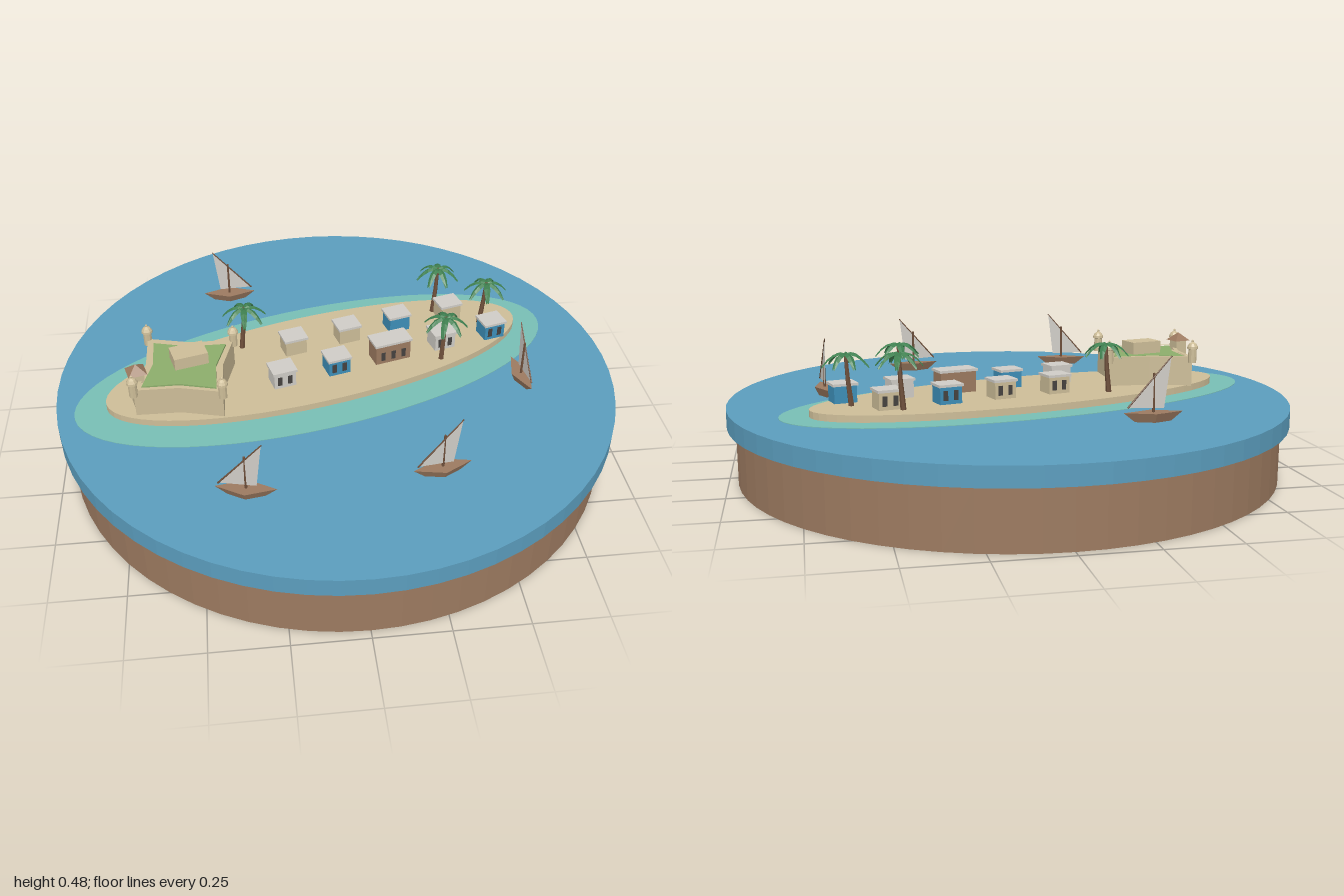
import * as THREE from 'three';

const TILT = Math.PI / 12; // heading of the island's long axis

function mat(name, color, opts = {}) {
  const m = new THREE.MeshStandardMaterial({ color, flatShading: true, ...opts });
  m.name = name;
  return m;
}

export function createModel() {
  const water = mat('water', 0x5b9dbd);
  const lagoonBlue = mat('lagoon', 0x78beb4);
  const sand = mat('sand', 0xcdbd98);
  const brown = mat('brown', 0x9c7a60);
  const wood = mat('dark wood', 0x6e4f3a);
  const grass = mat('grass', 0x8cad6b);
  const leaf = mat('palm leaf', 0x3f8050, { side: THREE.DoubleSide });
  const white = mat('off white', 0xcfccc6, { side: THREE.DoubleSide });
  const blue = mat('painted blue', 0x3d8fb8);
  const dark = mat('dark opening', 0x45423f);

  const model = new THREE.Group();
  model.name = 'islandDiorama';

  const add = (parent, name, geometry, material, x = 0, y = 0, z = 0) => {
    const mesh = new THREE.Mesh(geometry, material);
    mesh.name = name;
    mesh.position.set(x, y, z);
    parent.add(mesh);
    return mesh;
  };
  const group = (name, x, y, z, turn = 0) => {
    const g = new THREE.Group();
    g.name = name;
    g.position.set(x, y, z);
    g.rotation.y = turn;
    model.add(g);
    return g;
  };
  // Thin round pole between two points
  const pole = (parent, name, a, b, r0, r1, material) => {
    const from = new THREE.Vector3(...a), to = new THREE.Vector3(...b);
    const dir = to.clone().sub(from);
    const mesh = add(parent, name, new THREE.CylinderGeometry(r1, r0, dir.length(), 6), material);
    mesh.position.copy(from).addScaledVector(dir, 0.5);
    mesh.quaternion.setFromUnitVectors(new THREE.Vector3(0, 1, 0), dir.normalize());
  };

  // Base, sea, lagoon and island
  add(model, 'base', new THREE.CylinderGeometry(0.97, 0.97, 0.2, 64), brown, 0, 0.1, 0);
  add(model, 'sea', new THREE.CylinderGeometry(1, 1, 0.065, 64), water, 0, 0.2325, 0);
  const oval = (name, a, b, y0, y1, material, x, z) => {
    const mesh = add(model, name, new THREE.CylinderGeometry(1, 1, y1 - y0, 64), material, x, (y0 + y1) / 2, z);
    mesh.scale.set(a, 1, b);
    mesh.rotation.y = TILT;
  };
  oval('lagoon', 0.9, 0.362, 0.26, 0.267, lagoonBlue, -0.055, -0.06);
  oval('island', 0.794, 0.26, 0.262, 0.291, sand, -0.05, -0.075);

  // Fort: four corners with walls bending inwards between them
  const centre = [-0.539, 0.07];
  const corners = [[-0.67, -0.1], [-0.365, -0.06], [-0.41, 0.24], [-0.71, 0.2]];
  const fortOutline = (scale, bend) => {
    const points = [];
    corners.forEach((c, i) => {
      const n = corners[(i + 1) % 4];
      const mid = [(c[0] + n[0]) / 2, (c[1] + n[1]) / 2];
      for (const [p, s] of [[c, scale], [mid, scale * bend]]) {
        points.push(new THREE.Vector2(
          centre[0] + (p[0] - centre[0]) * s, -(centre[1] + (p[1] - centre[1]) * s)));
      }
    });
    return points;
  };
  const slab = (name, outer, hole, y0, y1, material) => {
    const shape = new THREE.Shape(outer);
    if (hole) shape.holes.push(new THREE.Path(hole));
    const geo = new THREE.ExtrudeGeometry(shape, { depth: y1 - y0, bevelEnabled: false });
    add(model, name, geo.rotateX(-Math.PI / 2), material, 0, y0, 0);
  };
  slab('fortWalls', fortOutline(1, 0.88), null, 0.288, 0.388, sand);
  slab('fortParapet', fortOutline(1, 0.88), fortOutline(0.9, 0.87), 0.387, 0.397, sand);
  slab('fortLawn', fortOutline(0.84, 0.86), null, 0.387, 0.396, grass);
  const keep = group('fortKeep', -0.522, 0.39, 0.047, TILT);
  add(keep, 'keepBlock', new THREE.BoxGeometry(0.12, 0.05, 0.08), sand, 0, 0.025, 0);

  // Domed corner turrets
  const turretProfile = [[0, 0], [0.015, 0], [0.015, 0.05], [0.02, 0.052], [0.019, 0.06],
    [0.013, 0.07], [0.004, 0.076], [0.004, 0.082], [0, 0.085]].map(p => new THREE.Vector2(...p));
  const turretGeo = new THREE.LatheGeometry(turretProfile, 10);
  for (const [x, z] of corners) add(model, 'fortTurret', turretGeo, sand, x, 0.375, z);

  // Sentry house on the west wall
  const sentry = group('sentryHouse', -0.7, 0.29, 0.13, TILT);
  add(sentry, 'sentryWalls', new THREE.BoxGeometry(0.045, 0.135, 0.045), sand, 0, 0.0675, 0);
  add(sentry, 'sentryRoof', new THREE.ConeGeometry(0.046, 0.03, 4).rotateY(Math.PI / 4), brown, 0, 0.15, 0);

  // Houses: front row faces the front, back row faces the back
  const houses = [
    [-0.2, 0.067, white, 1], [0, 0.013, blue, 1], [0.203, -0.045, brown, 1, true],
    [0.406, -0.1, white, 1], [0.604, -0.147, blue, 1],
    [-0.145, -0.125, sand, -1], [0.06, -0.18, sand, -1],
    [0.257, -0.233, blue, -1], [0.465, -0.286, sand, -1],
  ];
  for (const [x, z, paint, facing, large] of houses) {
    const w = large ? 0.135 : 0.08, h = large ? 0.076 : 0.06, d = 0.07;
    const house = group('house', x, 0.29, z, TILT + (facing < 0 ? Math.PI : 0));
    add(house, 'houseWalls', new THREE.BoxGeometry(w, h, d), paint, 0, h / 2, 0);
    add(house, 'houseRoof', new THREE.BoxGeometry(w + 0.01, 0.009, d + 0.01), white, 0, h + 0.0045, 0);
    for (const ox of large ? [-0.04, 0, 0.04] : [-0.02, 0.018]) {
      add(house, 'houseOpening', new THREE.BoxGeometry(0.016, 0.034, 0.004), dark, ox, 0.031, d / 2);
    }
  }

  // Palms: leaning trunk and drooping folded fronds
  const frondGeo = new THREE.PlaneGeometry(0.08, 0.02, 4, 2).rotateX(-Math.PI / 2).translate(0.04, 0, 0);
  const fp = frondGeo.attributes.position;
  for (let i = 0; i < fp.count; i++) {
    const t = fp.getX(i) / 0.08, side = fp.getZ(i);
    const spread = 0.45 + 0.75 * Math.sin(Math.PI * Math.min(1, t * 0.9 + 0.1));
    fp.setZ(i, side * spread);
    fp.setY(i, 0.03 * t - 0.07 * t * t - Math.abs(side) * 0.6);
  }
  frondGeo.computeVertexNormals();
  const palms = [[-0.32, -0.163, 0.175, 0.2], [0.428, -0.33, 0.19, 0.5],
    [0.594, -0.227, 0.178, 0.1], [0.4, -0.02, 0.175, 0.8]];
  for (const [x, z, h, turn] of palms) {
    const palm = group('palm', x, 0.29, z, turn);
    pole(palm, 'palmTrunk', [-0.015, 0, 0], [-0.006, h * 0.5, 0], 0.01, 0.008, wood);
    pole(palm, 'palmTrunk', [-0.006, h * 0.48, 0], [0, h, 0], 0.008, 0.006, wood);
    for (let i = 0; i < 7; i++) {
      add(palm, 'palmFrond', frondGeo, leaf, 0, h, 0).rotation.y = (i / 7) * Math.PI * 2;
    }
  }

  // Sailing boats with a lateen sail on a slanted yard
  const sailGeo = new THREE.BufferGeometry();
  sailGeo.setAttribute('position', new THREE.Float32BufferAttribute(
    [-0.085, 0.05, 0.003, 0.035, 0.045, 0.003, 0.055, 0.21, 0.003], 3));
  sailGeo.computeVertexNormals();
  const hullGeo = new THREE.CylinderGeometry(1, 0.6, 0.032, 4);
  const boats = [[-0.37, -0.54, Math.PI], [0.658, 0.115, 1.7], [-0.353, 0.607, -0.19], [0.283, 0.575, 0.165]];
  for (const [x, z, turn] of boats) {
    const boat = group('sailingBoat', x, 0.264, z, turn);
    add(boat, 'hull', hullGeo, brown, 0, 0.016, 0).scale.set(0.1, 1, 0.036);
    pole(boat, 'mast', [0, 0.03, 0], [0, 0.16, 0], 0.005, 0.004, wood);
    pole(boat, 'yard', [-0.088, 0.048, 0.003], [0.057, 0.214, 0.003], 0.003, 0.002, wood);
    add(boat, 'sail', sailGeo, white);
  }
  return model;
}
